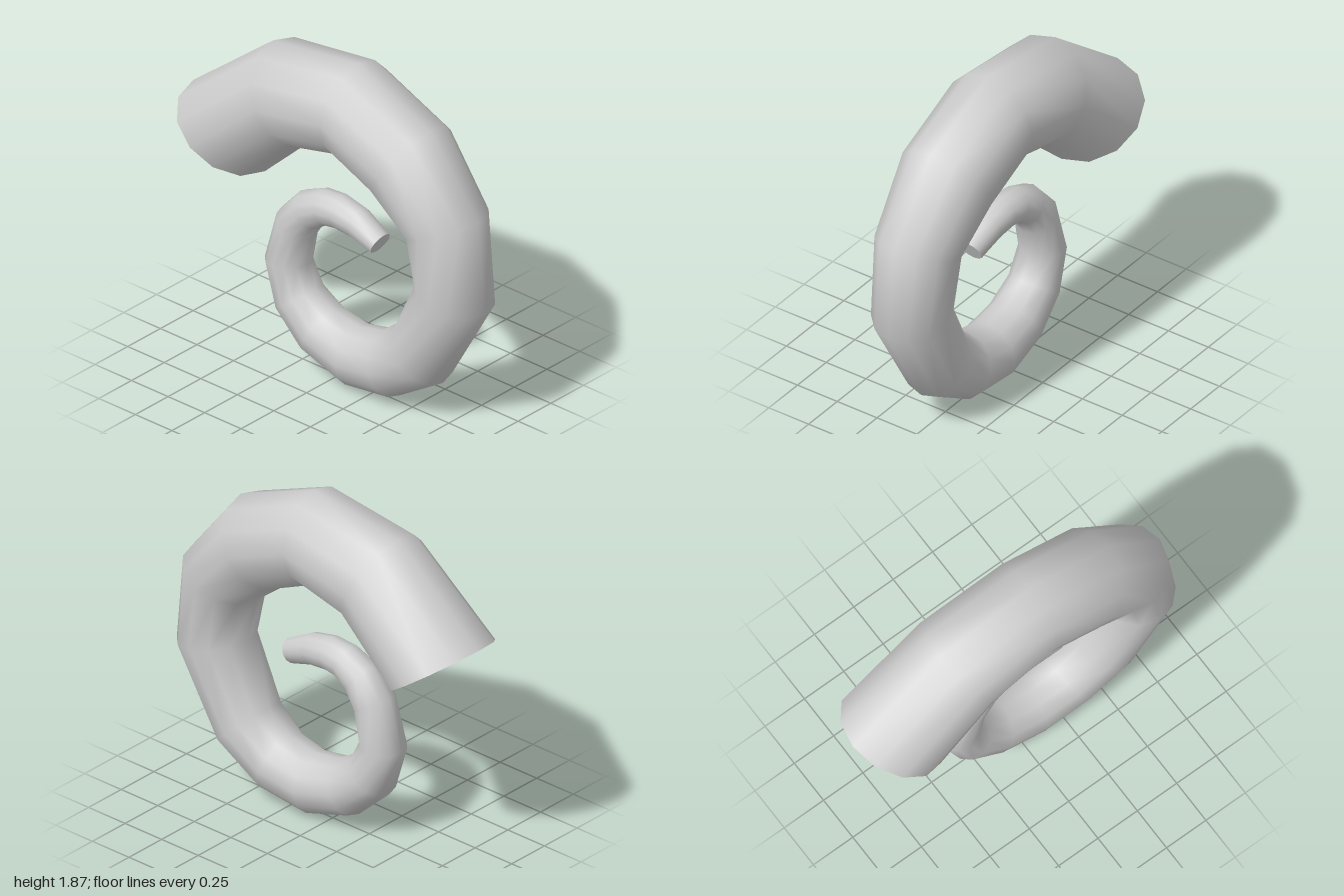
import * as THREE from 'three';

const SIDES = 12;

// Spiral cross-sections from open base to tip: [outer z, outer y, inner z, inner y]
const RINGS = [
  [-1.0, 1.35, -0.51, 1.0],
  [-0.45, 1.79, -0.21, 1.28],
  [0.13, 1.87, 0.08, 1.345],
  [0.63, 1.66, 0.345, 1.22],
  [0.95, 1.25, 0.53, 1.07],
  [1.0, 0.73, 0.585, 0.81],
  [0.71, 0.22, 0.43, 0.48],
  [0.42, 0.04, 0.29, 0.37],
  [0.11, 0.0, 0.13, 0.335],
  [-0.18, 0.09, -0.04, 0.365],
  [-0.385, 0.28, -0.16, 0.44],
  [-0.47, 0.55, -0.22, 0.56],
  [-0.39, 0.84, -0.185, 0.73],
  [-0.265, 0.98, -0.13, 0.815],
  [-0.12, 1.045, -0.06, 0.86],
  [0.01, 1.055, 0.01, 0.87],
  [0.15, 1.025, 0.11, 0.86],
  [0.31, 0.935, 0.25, 0.815],
];

// Round tapered tube skinned through the rings
function hornGeometry() {
  const positions = [];
  const index = [];
  RINGS.forEach(([oz, oy, iz, iy], i) => {
    const cz = (oz + iz) / 2, cy = (oy + iy) / 2;
    const uz = oz - cz, uy = oy - cy;
    const r = Math.hypot(uz, uy);
    for (let j = 0; j < SIDES; j++) {
      const a = (j / SIDES) * Math.PI * 2;
      positions.push(r * Math.sin(a), cy + uy * Math.cos(a), cz + uz * Math.cos(a));
      if (i < RINGS.length - 1) {
        const k = (j + 1) % SIDES;
        const p = i * SIDES + j, q = i * SIDES + k;
        index.push(p, p + SIDES, q, q, p + SIDES, q + SIDES);
      }
    }
  });
  const geometry = new THREE.BufferGeometry();
  geometry.setAttribute('position', new THREE.Float32BufferAttribute(positions, 3));
  geometry.setIndex(index);
  geometry.computeVertexNormals();
  return geometry;
}

export function createModel() {
  const model = new THREE.Group();
  model.name = 'spiralHorn';

  const grey = new THREE.MeshStandardMaterial({ color: 0xcccccc, side: THREE.DoubleSide });
  grey.name = 'light grey';

  // Curled body, open at the base
  const horn = new THREE.Mesh(hornGeometry(), grey);
  horn.name = 'horn';
  model.add(horn);

  // Flat disc closing the small tip
  const [oz, oy, iz, iy] = RINGS[RINGS.length - 1];
  const radius = Math.hypot(oz - iz, oy - iy) / 2;
  const tip = new THREE.Mesh(new THREE.CircleGeometry(radius, SIDES), grey);
  tip.name = 'tipCap';
  tip.position.set(0, (oy + iy) / 2, (oz + iz) / 2);
  tip.rotation.x = Math.atan2(oz - iz, oy - iy);
  model.add(tip);

  return model;
}
